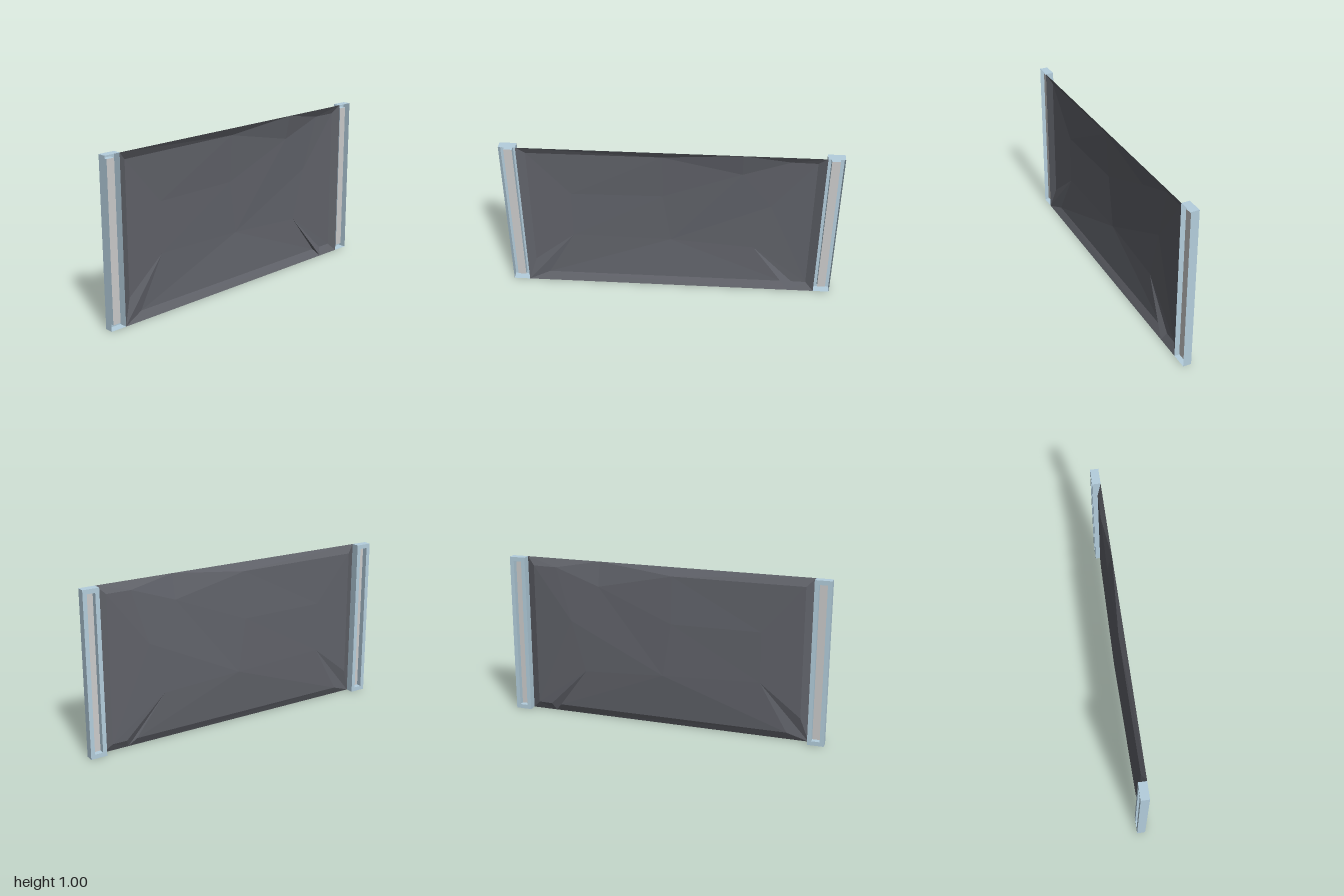
import * as THREE from 'three';

const DEPTH = 0.05;
const SLOT = { width: 0.05, height: 0.948, depth: 0.034 };

// Adds a rectangle outline, centred on x = 0 and y = 0, to a shape or path
function rect(path, width, height) {
  const w = width / 2, h = height / 2;
  return path.moveTo(-w, -h).lineTo(w, -h).lineTo(w, h).lineTo(-w, h).closePath();
}

// Four thin walls: a box without its two x faces
function createWalls(depth, height, width, material) {
  const geo = new THREE.BoxGeometry(depth, height, width);
  geo.setIndex(Array.from(geo.index.array).slice(12));
  geo.clearGroups();
  return new THREE.Mesh(geo, material);
}

// Upright end frame: a shell open to +x, with a capped slot pushed in from -x
function createEndFrame(frameMat, capMat) {
  const group = new THREE.Group();
  const outer = createWalls(DEPTH, 1, 0.1, frameMat);
  outer.name = 'outerWalls';

  const shape = rect(new THREE.Shape(), 0.1, 1);
  shape.holes.push(rect(new THREE.Path(), SLOT.width, SLOT.height));
  const face = new THREE.Mesh(new THREE.ShapeGeometry(shape).rotateY(-Math.PI / 2), frameMat);
  face.name = 'slottedFace';
  face.position.x = -DEPTH / 2;

  const slot = createWalls(SLOT.depth, SLOT.height, SLOT.width, frameMat);
  slot.name = 'slotWalls';
  slot.position.x = (SLOT.depth - DEPTH) / 2;

  const cap = new THREE.Mesh(new THREE.PlaneGeometry(SLOT.width, SLOT.height).rotateY(Math.PI / 2), capMat);
  cap.name = 'slotCap';
  cap.position.x = SLOT.depth - DEPTH / 2;

  group.add(outer, face, slot, cap);
  return group;
}

// Crumpled sheet: a shallow dish with bevelled rims, faceted by triangle fans
function createSheet(material) {
  const points = [ // z, y, x
    [0.9, 0, 0.025], [0.9, 1, 0.025], [-0.9, 1, 0.025], [-0.9, 0, 0.025],
    [0.85, 0.15, 0], [0.77, 0.05, 0], [0.85, 0.95, 0], [0.05, 0.95, -0.005],
    [-0.42, 0.85, -0.005], [-0.7, 0.95, -0.003], [-0.85, 0.95, 0], [-0.85, 0.05, 0],
    [-0.76, 0.05, -0.002], [0.6, 0.66, -0.009], [0.05, 0.66, -0.021], [-0.6, 0.62, -0.016],
    [0.6, 0.35, -0.009], [0, 0.33, -0.025], [-0.51, 0.3, -0.016], [-0.74, 0, 0.025],
    [-0.42, 1, 0.025], [-0.695, 0.05, -0.002],
  ];
  const fans = [
    [1, 0, 4, 6, 7, 20], [20, 7, 8, 9, 2], [2, 9, 10, 11, 3],   // side and top rims
    [0, 5, 16, 4], [19, 3, 11, 12, 18, 21, 5, 0],               // corner fold, bottom rim
    [13, 6, 4, 16, 14, 7, 6], [17, 16, 5, 21, 18, 15, 8, 14, 16],
    [14, 8, 7], [18, 12, 11, 15], [15, 11, 10, 9, 8],
  ];
  const positions = [];
  for (const [hub, ...ring] of fans) {
    for (let i = 0; i + 1 < ring.length; i++) {
      const tri = [hub, ring[i], ring[i + 1]].map((k) => points[k]);
      // Wind every facet towards +x
      const [a, b, c] = tri;
      const area = (b[0] - a[0]) * (c[1] - a[1]) - (b[1] - a[1]) * (c[0] - a[0]);
      if (area > 0) tri.reverse();
      for (const [z, y, x] of tri) positions.push(x, y, z);
    }
  }
  const geo = new THREE.BufferGeometry();
  geo.setAttribute('position', new THREE.Float32BufferAttribute(positions, 3));
  geo.computeVertexNormals();
  return new THREE.Mesh(geo, material);
}

export function createModel() {
  const model = new THREE.Group();
  model.name = 'panel';
  const frameMat = new THREE.MeshStandardMaterial({ color: 0xb4cedd, side: THREE.DoubleSide });
  const capMat = new THREE.MeshStandardMaterial({ color: 0xcccccc, side: THREE.DoubleSide });
  const sheetMat = new THREE.MeshStandardMaterial({ color: 0x606269, side: THREE.DoubleSide, flatShading: true });

  for (const [name, side] of [['frontEndFrame', 1], ['backEndFrame', -1]]) {
    const end = createEndFrame(frameMat, capMat);
    end.name = name;
    end.position.set(0, 0.5, side * 0.95);
    model.add(end);
  }

  const sheet = createSheet(sheetMat);
  sheet.name = 'crumpledSheet';
  model.add(sheet);
  return model;
}
